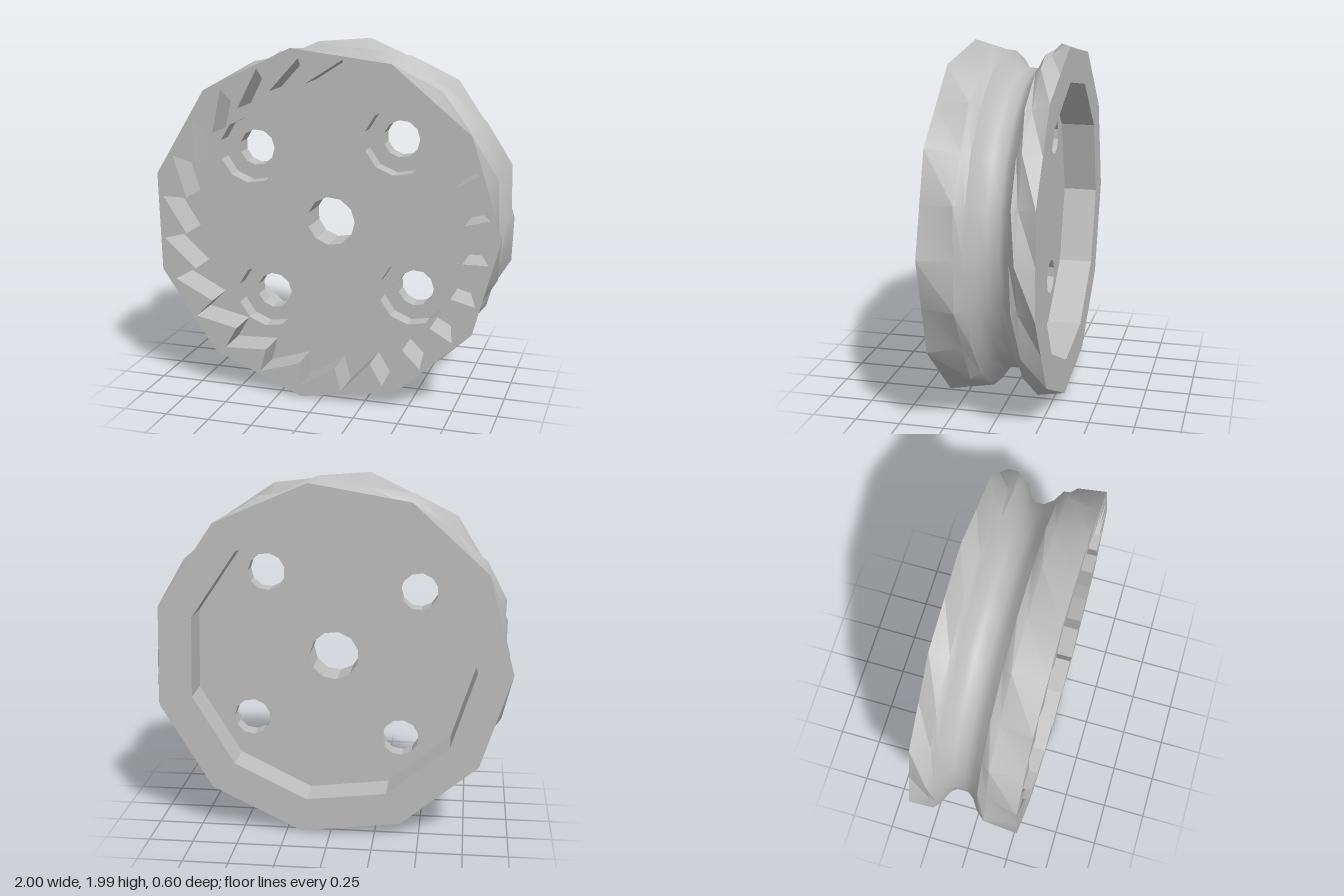
import * as THREE from 'three';
import { toCreasedNormals } from 'three/addons/utils/BufferGeometryUtils.js';

const SIDES = 11;
const STEP = (Math.PI * 2) / SIDES;
const PHASE = THREE.MathUtils.degToRad(1.4);

const polar = (r, a, c = [0, 0]) => new THREE.Vector2(c[0] + r * Math.cos(a), c[1] + r * Math.sin(a));

// Counter-clockwise regular polygon
const polygon = (r, phase = PHASE, c) =>
  Array.from({ length: SIDES }, (_, i) => polar(r, phase + i * STEP, c));

// Rim section with 22 points: corner 0 or 1 gives an 11-gon at that half step, 2 gives all corners
const rimRing = (r, corner) =>
  Array.from({ length: SIDES * 2 }, (_, i) =>
    polar(corner === 2 || i % 2 === corner ? r : r * Math.cos(STEP / 2), PHASE + (i * STEP) / 2));

// Skin over sections listed from back to front as [points, z]
function loft(sections, inward = false, crease = 0.1) {
  const pos = [];
  for (let s = 0; s < sections.length - 1; s++) {
    const [a, za] = sections[s];
    const [b, zb] = sections[s + 1];
    for (let i = 0; i < a.length; i++) {
      const j = (i + 1) % a.length;
      const A = [a[i].x, a[i].y, za], B = [a[j].x, a[j].y, za];
      const C = [b[j].x, b[j].y, zb], D = [b[i].x, b[i].y, zb];
      pos.push(...(inward ? [A, C, B, A, D, C] : [A, B, C, A, C, D]).flat());
    }
  }
  const g = new THREE.BufferGeometry();
  g.setAttribute('position', new THREE.Float32BufferAttribute(pos, 3));
  g.computeVertexNormals();
  return toCreasedNormals(g, crease);
}

// Flat face with holes, facing front or back
function face(outline, holes, z, back = false) {
  const flip = (p) => (back ? new THREE.Vector2(-p.x, p.y) : p);
  const shape = new THREE.Shape(outline.map(flip));
  shape.holes = holes.map((h) => new THREE.Path(h.map(flip)));
  const g = new THREE.ShapeGeometry(shape);
  if (back) g.rotateY(Math.PI);
  return g.translate(0, 0, z);
}

export function createModel() {
  const model = new THREE.Group();
  model.name = 'ratchetPulley';
  const wheel = new THREE.Group();
  wheel.name = 'wheel';
  wheel.position.y = 0.995;
  model.add(wheel);

  const grey = new THREE.MeshStandardMaterial({ color: 0xbfbfbf });
  grey.name = 'plainGrey';
  const add = (name, geometry) => {
    const mesh = new THREE.Mesh(geometry, grey);
    mesh.name = name;
    wheel.add(mesh);
  };

  const FRONT = 0.3, BACK = -0.3, WEB_FRONT = 0.1, WEB_BACK = -0.1, SEAT = 0;

  // Grooved outer rim: [z, radius, corner]
  const profile = [
    [BACK, 1, 1], [-0.2, 0.99, 0], [-0.165, 0.955, 2], [-0.125, 0.875, 2], [-0.09, 0.85, 2],
    [-0.02, 0.85, 2], [0.03, 0.885, 2], [0.07, 0.945, 2], [0.12, 0.99, 1], [FRONT, 1, 0],
  ];
  add('grooveRim', loft(profile.map(([z, r, c]) => [rimRing(r, c), z]), false, 0.7));

  // Sawtooth outline of the front recess
  const teeth = [];
  for (let i = 0; i < 24; i++) {
    const a = THREE.MathUtils.degToRad(7.3 + i * 15);
    teeth.push(polar(0.803, a - 0.024), polar(0.942, a));
  }
  add('frontFace', face(polygon(1), [teeth], FRONT));
  add('ratchetTeeth', loft([[teeth, WEB_FRONT], [teeth, FRONT]], true));

  // Back recess
  const halfPhase = PHASE + STEP / 2;
  const backRecess = polygon(0.805, halfPhase);
  add('backFace', face(polygon(1, halfPhase), [backRecess], BACK, true));
  add('backRecessWall', loft([[backRecess, BACK], [backRecess, WEB_BACK]], true));

  // Axle hole and four stepped bolt holes
  const axle = polygon(0.14);
  const bolts = [0, 1, 2, 3].map((i) => {
    const c = polar(0.607, THREE.MathUtils.degToRad(51.3) + (i * Math.PI) / 2).toArray();
    return { bore: polygon(0.19, PHASE, c), hole: polygon(0.105, PHASE, c) };
  });
  add('webFront', face(teeth, [axle, ...bolts.map((b) => b.bore)], WEB_FRONT));
  add('webBack', face(backRecess, [axle, ...bolts.map((b) => b.hole)], WEB_BACK, true));
  add('axleHole', loft([[axle, WEB_BACK], [axle, WEB_FRONT]], true));
  for (const { bore, hole } of bolts) {
    add('counterboreWall', loft([[bore, SEAT], [bore, WEB_FRONT]], true));
    add('counterboreSeat', face(bore, [hole], SEAT));
    add('boltHole', loft([[hole, WEB_BACK], [hole, SEAT]], true));
  }
  return model;
}
